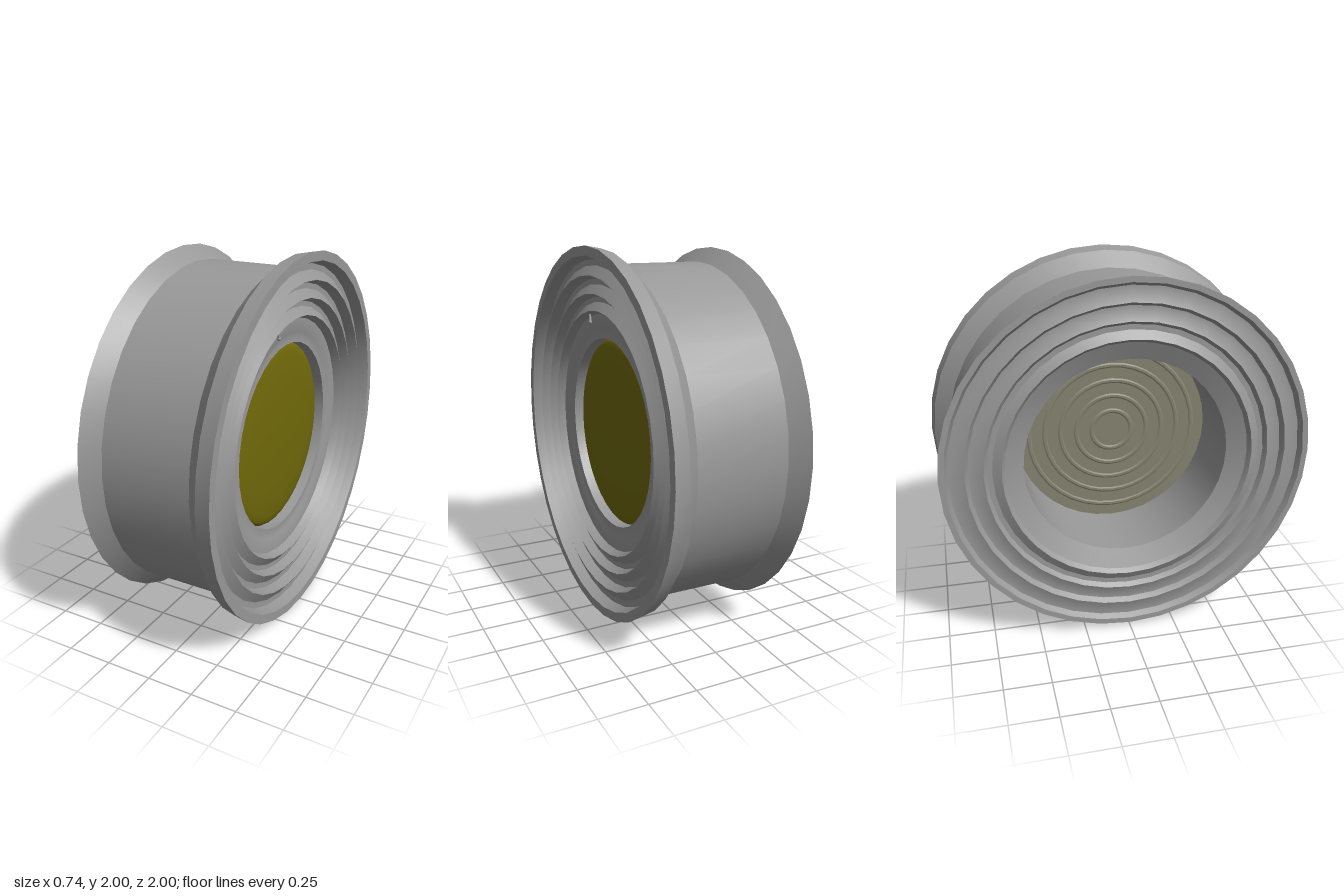
import * as THREE from 'three';
import { toCreasedNormals } from 'three/addons/utils/BufferGeometryUtils.js';

const SEGMENTS = 36;
const grey = new THREE.MeshStandardMaterial({ color: 0x999999 });
const backGrey = new THREE.MeshStandardMaterial({ color: 0x85836f });
const olive = new THREE.MeshStandardMaterial({ color: 0x70690a });

// Surface of revolution about the wheel axle (x); profile is [x, radius]
function revolve(name, profile, material, crease = 0.4) {
  const points = profile.map(([x, r]) => new THREE.Vector2(r, x));
  const geometry = toCreasedNormals(new THREE.LatheGeometry(points, SEGMENTS), crease);
  geometry.rotateZ(-Math.PI / 2);
  const mesh = new THREE.Mesh(geometry, material);
  mesh.name = name;
  return mesh;
}

// Ringed ridges: each lip drops down a steep wall to a groove,
// which runs flat and then rises to the next lip
function ridges(side, rimX, lips, lipDepths, grooveDepths) {
  const points = [];
  lips.forEach((r, i) => {
    const groove = rimX - side * grooveDepths[i];
    points.push([rimX - side * lipDepths[i], r], [groove, r - 0.018]);
    if (i < lips.length - 1) points.push([groove, (r + lips[i + 1]) / 2]);
  });
  return points;
}

export function createModel() {
  const wheel = new THREE.Group();
  wheel.name = 'wheel';
  const axle = new THREE.Group();
  axle.name = 'wheelAssembly';
  axle.position.y = 1;
  wheel.add(axle);

  // Outer barrel between two flared flanges
  axle.add(revolve('barrel', [
    [-0.37, 0.98], [-0.285, 0.905], [0.207, 0.905], [0.288, 0.985], [0.37, 1],
  ], grey));

  // Outer face: deep ridges falling to a shelf around the hub cap
  const lips = [0.95, 0.85, 0.755, 0.665];
  axle.add(revolve('outerFace', [
    [0.37, 1],
    ...ridges(1, 0.37, lips, [0, 0.025, 0.045, 0.06], [0.06, 0.08, 0.095, 0.105]),
    [0.264, 0.605], [0.255, 0.57], [0.25, 0.545], [0.252, 0.517], [0.185, 0.515],
  ], grey));

  // Inner face: shallower ridges, then a cone into the bore
  const innerFace = [
    [-0.37, 0.98],
    ...ridges(-1, -0.37, lips, [0, 0.012, 0.02, 0.02], [0.03, 0.04, 0.045, 0.045]),
    [-0.28, 0.547],
  ];
  axle.add(revolve('innerFace', innerFace.reverse(), grey));

  // Open bore running up to the back of the hub
  axle.add(revolve('bore', [[0.12, 0.547], [-0.28, 0.547]], grey));

  // Slightly domed hub cap with a rounded edge
  axle.add(revolve('hubCap', [
    [0.185, 0.515], [0.2, 0.508], [0.21, 0.49],
    [0.217, 0.46], [0.225, 0.35], [0.231, 0.2], [0.234, 0],
  ], olive, 0.9));

  // Hub back plate with thin concentric ridges
  const back = [[0.12, 0]];
  for (let r = 0.1; r < 0.5; r += 0.09) {
    back.push([0.12, r], [0.116, r + 0.008], [0.116, r + 0.02], [0.12, r + 0.028]);
  }
  back.push([0.12, 0.547]);
  axle.add(revolve('hubBack', back, backGrey));

  // Small valve stem near the top of the outer face
  const stemPath = new THREE.LineCurve3(
    new THREE.Vector3(0.28, 0.67, 0.18),
    new THREE.Vector3(0.285, 0.59, 0.16),
  );
  const stem = new THREE.Mesh(new THREE.TubeGeometry(stemPath, 1, 0.007, 8), grey);
  stem.name = 'valveStem';
  axle.add(stem);
  const cap = new THREE.Mesh(new THREE.SphereGeometry(0.01, 10, 8), grey);
  cap.name = 'valveCap';
  cap.position.copy(stemPath.v2);
  axle.add(cap);

  return wheel;
}
